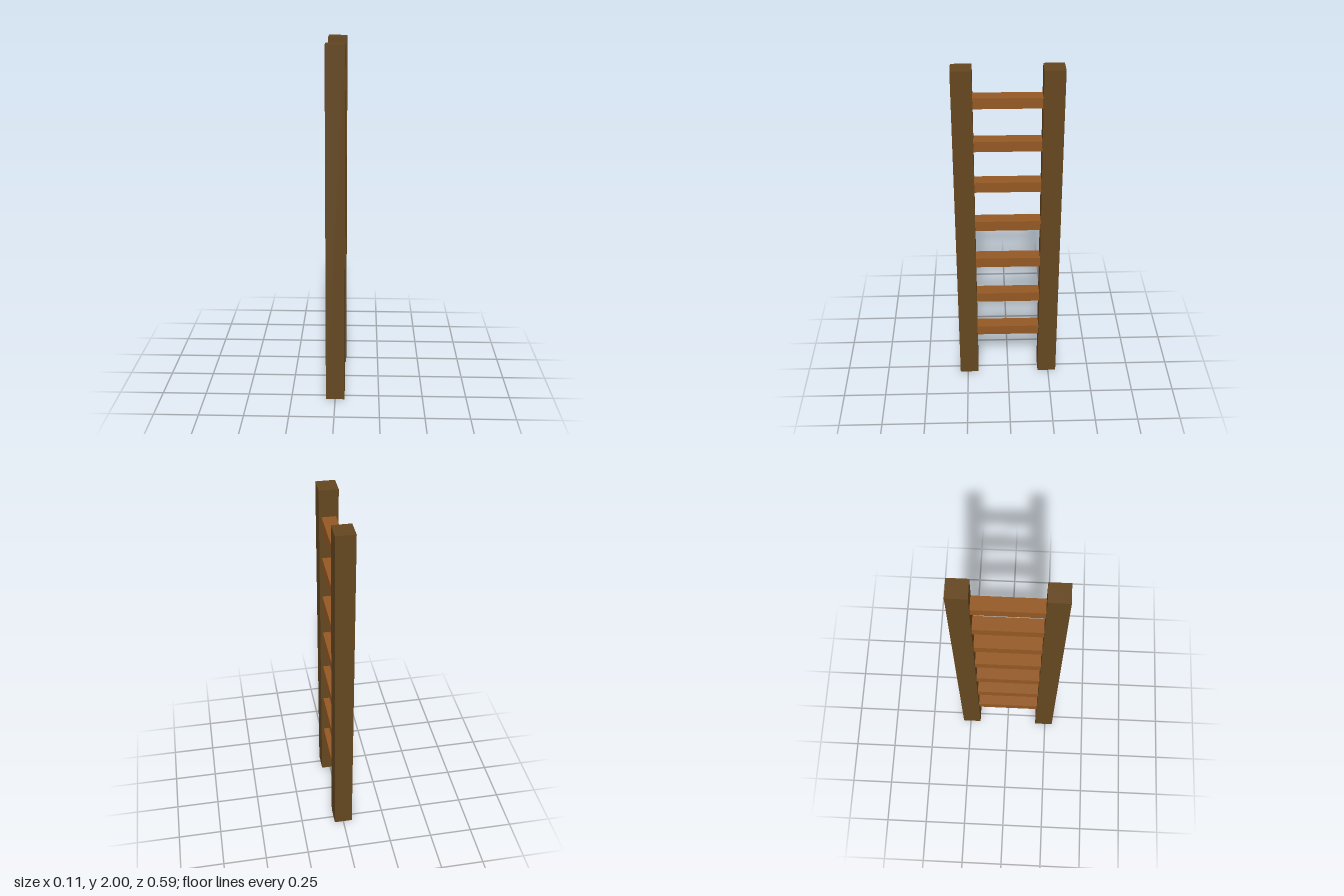
import * as THREE from 'three';

export function createModel() {
  const model = new THREE.Group();
  model.name = 'ladder';
  const railWood = new THREE.MeshStandardMaterial({ color: 0x64461f });
  const rungWood = new THREE.MeshStandardMaterial({ color: 0x935823 });

  // Two upright square rails, mirrored front to back
  const railGeometry = new THREE.BoxGeometry(0.106, 2, 0.112);
  for (const [name, side] of [['frontRail', 1], ['backRail', -1]]) {
    const rail = new THREE.Mesh(railGeometry, railWood);
    rail.name = name;
    rail.position.set(0, 1, side * 0.241);
    model.add(rail);
  }

  // Seven evenly spaced flat rungs between the rails
  const rungGeometry = new THREE.BoxGeometry(0.078, 0.06, 0.37);
  for (let i = 0; i < 7; i++) {
    const rung = new THREE.Mesh(rungGeometry, rungWood);
    rung.name = `rung${i + 1}`;
    rung.position.y = 0.315 + i * 0.25;
    model.add(rung);
  }
  return model;
}
